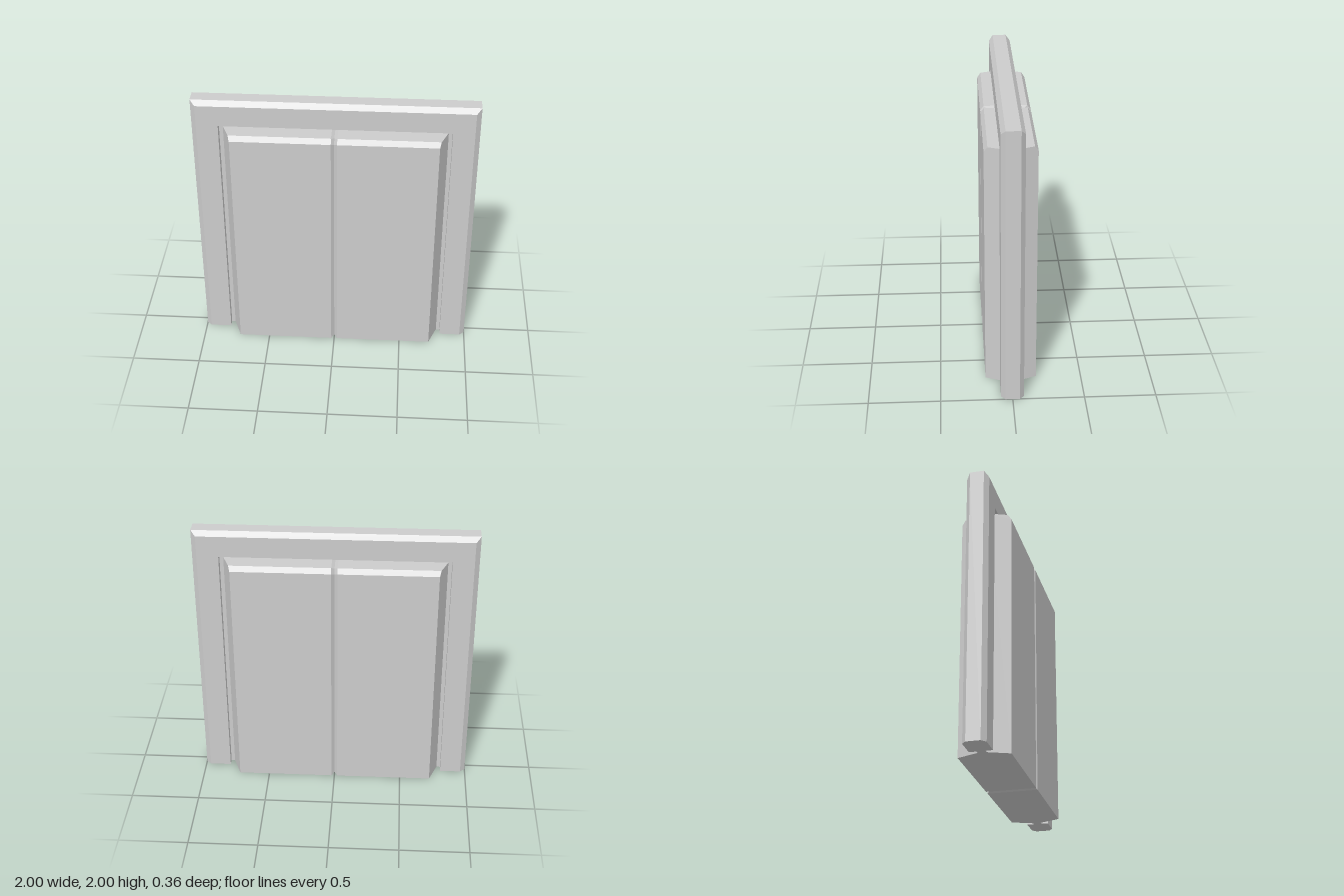
import * as THREE from 'three';

// Joins matching rings of points into a closed, flat-faced solid.
// capPieces lists the convex pieces that fill each end ring.
function loft(rings, capPieces) {
  const pos = [];
  const tri = (...pts) => pts.forEach((p) => pos.push(...p));
  const n = rings[0].length;
  for (let i = 0; i < rings.length - 1; i++) {
    for (let j = 0; j < n; j++) {
      const k = (j + 1) % n;
      const a = rings[i][j], b = rings[i][k], c = rings[i + 1][k], d = rings[i + 1][j];
      tri(a, d, c);
      tri(a, c, b);
    }
  }
  const first = rings[0], last = rings[rings.length - 1];
  for (const piece of capPieces) {
    for (let k = 1; k < piece.length - 1; k++) {
      const [p, q, r] = [piece[0], piece[k], piece[k + 1]];
      tri(first[p], first[q], first[r]);
      tri(last[p], last[r], last[q]);
    }
  }
  const geometry = new THREE.BufferGeometry();
  geometry.setAttribute('position', new THREE.Float32BufferAttribute(pos, 3));
  geometry.computeVertexNormals();
  return geometry;
}

// Frame: a chamfered profile (inset from the outer edge, z) with a thin stop, swept over three sides
function frameGeometry() {
  const profile = [
    [0, 0.05], [0.035, 0.08], [0.188, 0.08], [0.188, 0.03], [0.215, 0.03],
    [0.215, -0.03], [0.188, -0.03], [0.188, -0.08], [0.035, -0.08], [0, -0.05],
  ];
  const corners = [[1, 0], [1, 2], [-1, 2], [-1, 0]];
  const rings = corners.map(([x, y]) =>
    profile.map(([inset, z]) => [x * (1 - inset), y === 0 ? 0 : y - inset, z]));
  return loft(rings, [[0, 1, 2, 3, 6, 7, 8, 9], [3, 4, 5, 6]]);
}

// Door panel: section (z, y) running from the bevelled centre seam to the sloped outer side
function panelGeometry() {
  const section = [
    [0.18, 0], [0.18, 1.75], [0.155, 1.785], [0.03, 1.785], [-0.03, 1.785],
    [-0.155, 1.785], [-0.18, 1.75], [-0.18, 0], [-0.03, 0], [0.03, 0],
  ];
  const seam = section.map(([z, y]) => [
    0,
    y === 0 ? 0.018 : y - 0.012,
    Math.abs(z) > 0.1 ? z - Math.sign(z) * 0.022 : z,
  ]);
  const face = section.map(([z, y]) => [0.022, y, z]);
  const side = section.map(([z, y]) => [0.785 - (Math.abs(z) - 0.03) * 0.4, y, z]);
  return loft([seam, face, side], [[0, 1, 2, 3, 9], [3, 4, 8, 9], [4, 5, 6, 7, 8]]);
}

export function createModel() {
  const grey = new THREE.MeshStandardMaterial({ color: 0xcccccc });
  grey.name = 'light grey';

  const model = new THREE.Group();
  model.name = 'doubleDoor';

  const frame = new THREE.Mesh(frameGeometry(), grey);
  frame.name = 'doorFrame';
  model.add(frame);

  // The panels are symmetric front to back, so the right one is the left turned around
  const geometry = panelGeometry();
  ['leftPanel', 'rightPanel'].forEach((name, i) => {
    const panel = new THREE.Mesh(geometry, grey);
    panel.name = name;
    panel.rotation.y = i * Math.PI;
    model.add(panel);
  });
  return model;
}
